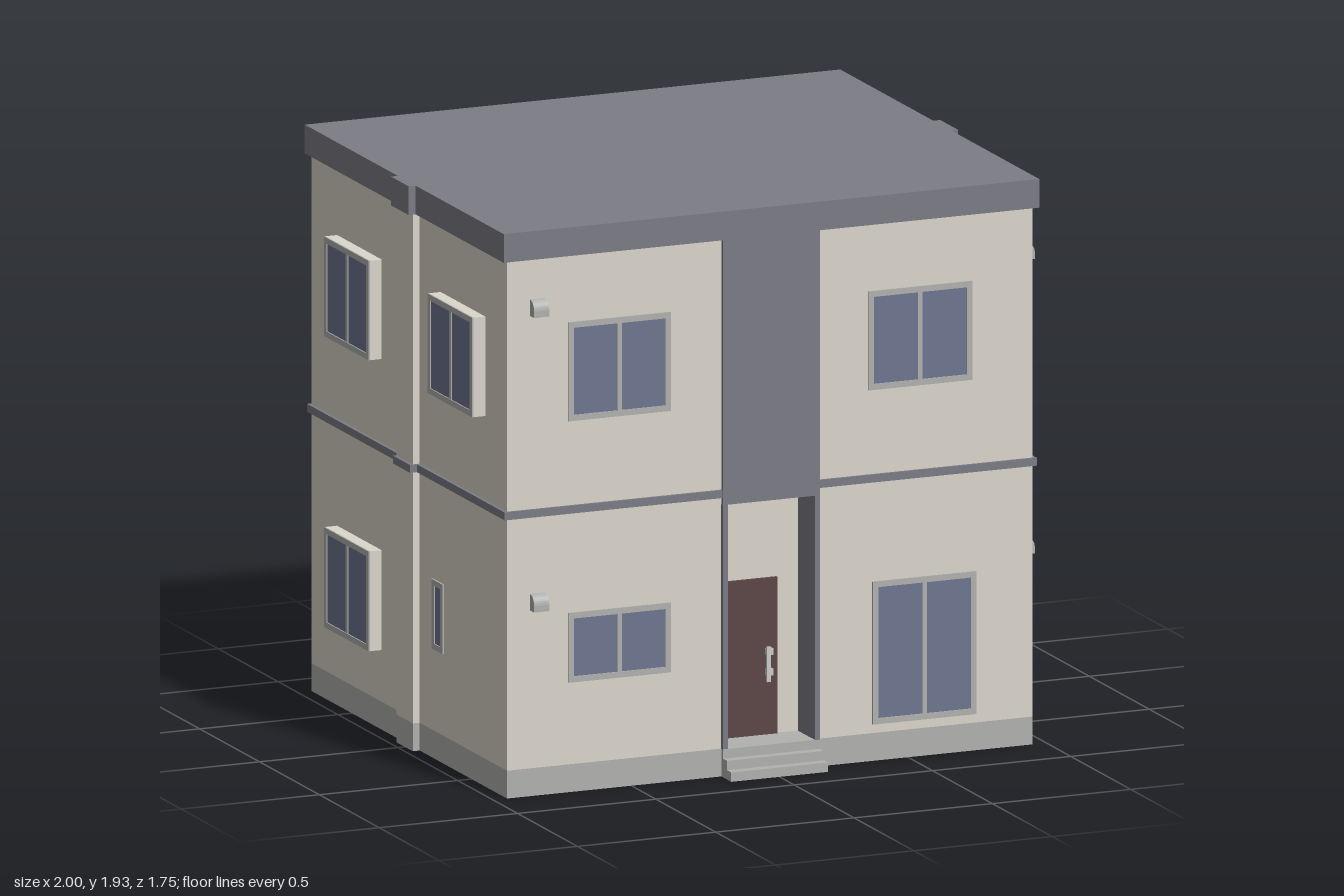
import * as THREE from 'three';

const mat = (color, side = THREE.FrontSide) => new THREE.MeshStandardMaterial({ color, side });
const M = {
  wall: mat(0xdcd7cc), dark: mat(0x7c7c85), grey: mat(0xb2b2b0),
  glass: mat(0x6e7791), door: mat(0x5d4645), metal: mat(0xcccccc),
};

// Outer wall faces
const W = 0.95, FRONT = 0.796, BACK = -0.837;

function add(parent, name, geo, material) {
  const m = new THREE.Mesh(geo, material);
  m.name = name;
  parent.add(m);
  return m;
}

// Box given by its min and max corners
function box(parent, name, material, x0, x1, y0, y1, z0, z1) {
  const m = add(parent, name, new THREE.BoxGeometry(x1 - x0, y1 - y0, z1 - z0), material);
  m.position.set((x0 + x1) / 2, (y0 + y1) / 2, (z0 + z1) / 2);
  return m;
}

// House footprint with a pilaster on each side, grown by e, optionally with an entrance recess
function storey(parent, name, material, y0, y1, ex = 0, ez = ex, recess = false) {
  const w = W + ex, p = 0.975 + ex, h = 0.067 + ez / 2, f = FRONT + ez, b = BACK - ez;
  const pts = [[-w, f]];
  if (recess) pts.push([-0.175, f], [-0.175, 0.665], [0.175, 0.665], [0.175, f]);
  pts.push([w, f], [w, h], [p, h], [p, -h], [w, -h], [w, b],
    [-w, b], [-w, -h], [-p, -h], [-p, h], [-w, h]);
  const shape = new THREE.Shape(pts.map(([x, z]) => new THREE.Vector2(x, -z)));
  const geo = new THREE.ExtrudeGeometry(shape, { depth: y1 - y0, bevelEnabled: false });
  geo.rotateX(-Math.PI / 2).translate(0, y0, 0);
  return add(parent, name, geo, material);
}

// Group on a wall: local z points outwards; u is the world x (front, back) or z (sides)
function onWall(parent, name, side, u, y) {
  const g = new THREE.Group();
  g.name = name;
  const [x, z, r] = {
    front: [u, FRONT, 0], back: [u, BACK, Math.PI],
    right: [W, u, Math.PI / 2], left: [-W, u, -Math.PI / 2],
  }[side];
  g.position.set(x, y, z);
  g.rotation.y = r;
  parent.add(g);
  return g;
}

function rect(path, w, h) {
  path.moveTo(-w / 2, -h / 2).lineTo(w / 2, -h / 2).lineTo(w / 2, h / 2).lineTo(-w / 2, h / 2);
  path.closePath();
  return path;
}

// Window from edge u0 to u1 and y0 to y1; bay pushes it out on a wall-coloured box
function makeWindow(parent, side, u0, u1, y0, y1, { bay = 0, split = true } = {}) {
  const w = u1 - u0, h = y1 - y0, t = 0.02;
  const g = onWall(parent, bay ? 'bayWindow' : 'window', side, (u0 + u1) / 2, (y0 + y1) / 2);
  if (bay) box(g, 'bayBox', M.wall, -w / 2, w / 2, -h / 2, h / 2, -0.01, bay);
  const frame = rect(new THREE.Shape(), w, h);
  frame.holes.push(rect(new THREE.Path(), w - 2 * t, h - 2 * t));
  const geo = new THREE.ExtrudeGeometry(frame, { depth: 0.006, bevelEnabled: false });
  add(g, 'windowFrame', geo, M.grey).position.z = bay;
  box(g, 'windowGlass', M.glass, -w / 2 + t, w / 2 - t, -h / 2 + t, h / 2 - t, bay - 0.005, bay + 0.002);
  if (split) box(g, 'windowMullion', M.grey, -0.008, 0.008, -h / 2 + t, h / 2 - t, bay, bay + 0.005);
}

// Vent hood: rounded shell open underneath, with two cheeks
function makeVent(parent, side, u, y) {
  const g = onWall(parent, 'ventHood', side, u, y);
  const outer = (s) => s.moveTo(0, 0).lineTo(0.036, 0).lineTo(0.036, 0.022)
    .quadraticCurveTo(0.034, 0.056, 0, 0.056);
  const cheek = outer(new THREE.Shape());
  const shell = new THREE.Shape();
  shell.moveTo(0.03, 0).lineTo(0.036, 0).lineTo(0.036, 0.022).quadraticCurveTo(0.034, 0.056, 0, 0.056)
    .lineTo(0, 0.05).quadraticCurveTo(0.029, 0.05, 0.03, 0.022);
  const part = (name, shape, depth, x) => {
    const geo = new THREE.ExtrudeGeometry(shape, { depth, bevelEnabled: false, curveSegments: 8 });
    geo.rotateY(-Math.PI / 2).translate(x + depth, 0, 0);
    add(g, name, geo, M.grey);
  };
  part('ventShell', shell, 0.045, -0.0225);
  part('ventCheek', cheek, 0.005, -0.0275);
  part('ventCheek', cheek, 0.005, 0.0225);
}

export function createModel() {
  const house = new THREE.Group();
  house.name = 'house';

  // Main volumes, bottom to top
  storey(house, 'plinth', M.grey, 0, 0.095);
  storey(house, 'groundFloorWalls', M.wall, 0.095, 0.95, 0, 0, true);
  storey(house, 'upperFloorWalls', M.wall, 0.95, 1.835);
  storey(house, 'floorBand', M.dark, 0.953, 0.98, 0.012, 0.009);
  storey(house, 'roof', M.dark, 1.835, 1.933, 0.018, 0.015);

  // Entrance portal: tall dark panel, lintel and jambs lining the recess
  const entrance = new THREE.Group();
  entrance.name = 'entrance';
  house.add(entrance);
  box(entrance, 'portalPanel', M.dark, -0.175, 0.175, 0.93, 1.835, 0.78, 0.811);
  box(entrance, 'portalLintel', M.dark, -0.175, 0.175, 0.93, 0.952, 0.66, 0.8);
  for (const s of [-1, 1]) {
    const x = s * 0.167;
    box(entrance, 'portalJamb', M.dark, x - 0.009, x + 0.009, 0.095, 0.93, 0.66, 0.811);
  }

  // Door with pull handle
  box(entrance, 'door', M.door, -0.157, 0.08, 0.096, 0.63, 0.66, 0.677);
  box(entrance, 'doorHandlePlate', M.metal, 0.032, 0.046, 0.28, 0.4, 0.692, 0.7);
  for (const y of [0.3, 0.37]) {
    box(entrance, 'doorHandleMount', M.metal, 0.034, 0.058, y, y + 0.022, 0.675, 0.694);
  }

  // Front steps
  [0.878, 0.844, 0.811].forEach((z, i) =>
    box(entrance, 'step', M.grey, -0.175, 0.175, i * 0.032, (i + 1) * 0.032, 0.78, z));

  // Front windows
  makeWindow(house, 'front', -0.73, -0.36, 1.268, 1.606);
  makeWindow(house, 'front', 0.355, 0.73, 1.268, 1.606);
  makeWindow(house, 'front', -0.73, -0.36, 0.375, 0.613);
  makeWindow(house, 'front', 0.37, 0.745, 0.125, 0.613);

  // Back windows
  for (const y of [0.272, 1.268]) {
    makeWindow(house, 'back', 0.355, 0.73, y, y + 0.338);
    makeWindow(house, 'back', -0.735, -0.36, y, y + 0.338);
  }
  makeWindow(house, 'back', -0.24, -0.07, 0.44, 0.61, { split: false });

  // Side windows
  const bay = 0.042;
  for (const side of ['left', 'right']) {
    makeWindow(house, side, 0.243, 0.615, 1.266, 1.606, { bay });
    makeWindow(house, side, -0.622, -0.25, 1.266, 1.606, { bay });
  }
  makeWindow(house, 'left', -0.622, -0.25, 0.272, 0.613, { bay });
  makeWindow(house, 'left', 0.18, 0.27, 0.375, 0.613, { split: false });
  makeWindow(house, 'right', -0.64, -0.55, 0.375, 0.613, { split: false });

  // Vent hoods on both floors
  for (const y of [0.635, 1.641]) {
    makeVent(house, 'front', -0.84, y);
    makeVent(house, 'right', 0.705, y);
    makeVent(house, 'back', -0.84, y);
    makeVent(house, 'back', 0.81, y);
  }
  return house;
}
